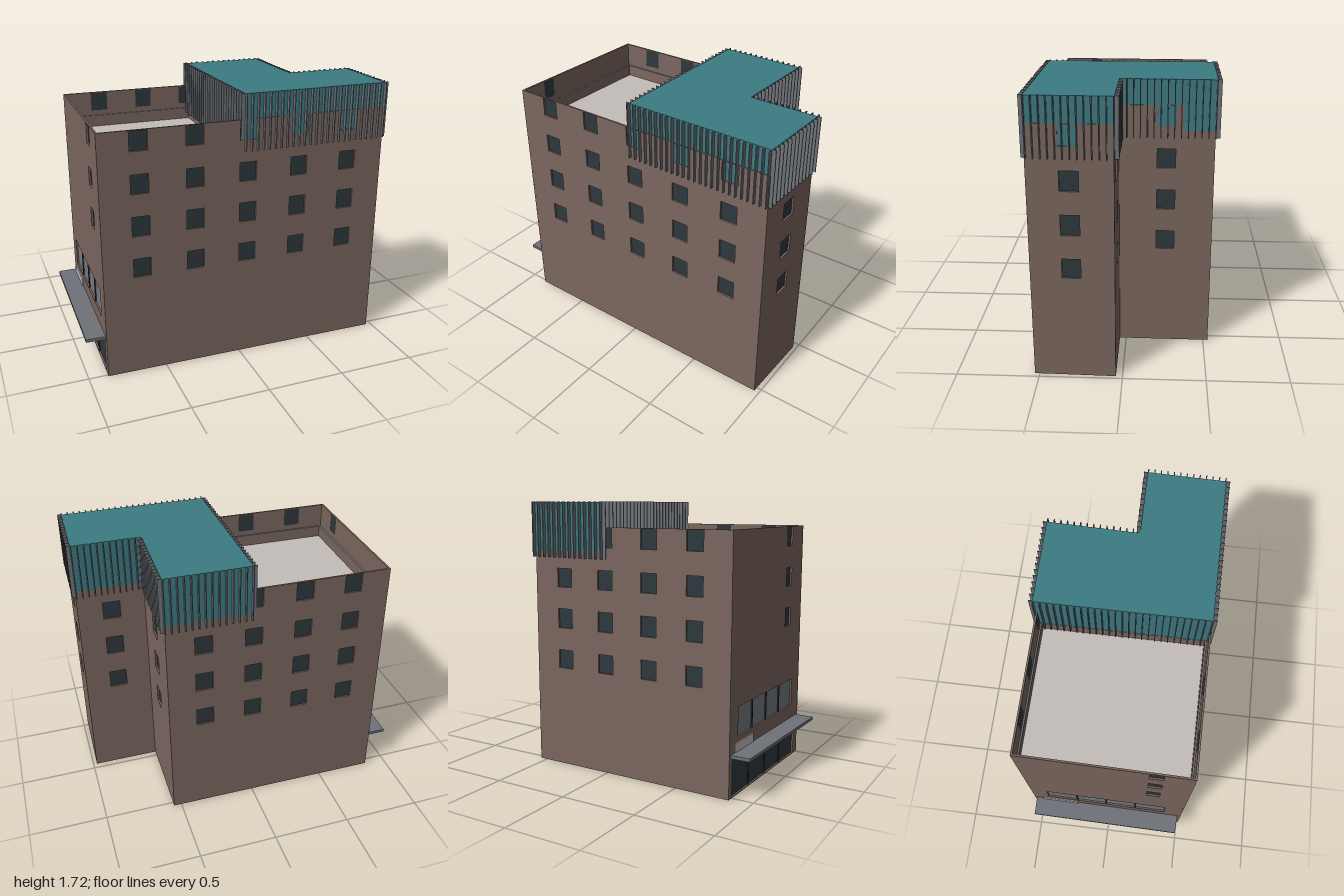
import * as THREE from 'three';

const mat = (name, color, side = THREE.FrontSide) => {
  const m = new THREE.MeshStandardMaterial({ color, side });
  m.name = name;
  return m;
};

export function createModel() {
  const root = new THREE.Group();
  root.name = 'building';
  const brown = mat('brown wall', 0x7b675f);
  const teal = mat('teal cladding', 0x3d7b83);
  const pale = mat('pale roof', 0xc4beba);
  const glass = mat('dark glass', 0x2e383e, THREE.DoubleSide);
  const shopGlass = mat('grey glass', 0x747b82, THREE.DoubleSide);
  const grey = mat('grey metal', 0x6e7278);
  const frame = mat('dark frame', 0x24292d);

  const H = 1.565, T = 0.012;
  const rows = [[0.65, 0.77], [0.915, 1.04], [1.18, 1.3], [1.44, 1.56]];

  const add = (parent, name, geo, material, x = 0, y = 0, z = 0) => {
    const m = new THREE.Mesh(geo, material);
    m.name = name;
    m.position.set(x, y, z);
    parent.add(m);
    return m;
  };

  // Upright prism from a plan outline of [x, z] points
  const planShape = pts => new THREE.Shape(pts.map(([x, z]) => new THREE.Vector2(x, -z)));
  const prism = (name, shape, y0, y1, material) => {
    const geo = new THREE.ExtrudeGeometry(shape, { depth: y1 - y0, bevelEnabled: false });
    geo.rotateX(-Math.PI / 2);
    return add(root, name, geo, material, 0, y0, 0);
  };

  // Group whose x runs along a plan edge and whose z points outwards
  const edgeGroup = (name, a, b) => {
    const g = new THREE.Group();
    g.name = name;
    g.position.set(a[0], 0, a[1]);
    g.rotation.y = Math.atan2(a[1] - b[1], b[0] - a[0]);
    root.add(g);
    return { g, len: Math.hypot(b[0] - a[0], b[1] - a[1]) };
  };

  // Thin wall pierced by openings, each glazed at the inner face
  const wall = (name, a, b, openings) => {
    const { g, len } = edgeGroup(name, a, b);
    const rect = (Type, u0, u1, y0, y1) => new Type([[u0, y0], [u1, y0], [u1, y1], [u0, y1]]
      .map(p => new THREE.Vector2(...p)));
    const s = rect(THREE.Shape, 0, len, 0, H);
    for (const o of openings) s.holes.push(rect(THREE.Path, o.u0, o.u1, o.y0, o.y1));
    add(g, name + 'Panel', new THREE.ExtrudeGeometry(s, { depth: T, bevelEnabled: false }), brown, 0, 0, -T);
    for (const o of openings) {
      const w = o.u1 - o.u0, h = o.y1 - o.y0;
      add(g, 'windowPane', new THREE.PlaneGeometry(w, h), o.material || glass, o.u0 + w / 2, o.y0 + h / 2, -T + 0.001);
      // Mullions for the wide glazing
      for (let i = 1; i < (o.panes || 1); i++) {
        add(g, 'mullion', new THREE.BoxGeometry(0.01, h, 0.008), frame, o.u0 + w * i / o.panes, o.y0 + h / 2, -T + 0.005);
      }
    }
    return g;
  };
  const windows = (centres, floors = rows, w = 0.11) =>
    centres.flatMap(c => floors.map(([y0, y1]) => ({ u0: c - w / 2, u1: c + w / 2, y0, y1 })));

  // L-shaped plan, anticlockwise from the front left corner
  const plan = [[-0.878, 0.513], [0.967, 0.53], [0.977, 0.04], [0.547, 0.04], [0.55, -0.53], [-0.86, -0.54]];
  wall('frontWall', plan[0], plan[1], windows([-0.635, -0.295, 0.045, 0.383, 0.722].map(x => x + 0.878)));
  wall('sideWall', plan[1], plan[2], windows([0.24]));
  wall('notchWall', plan[2], plan[3], windows([0.215]));
  wall('innerSideWall', plan[3], plan[4], windows([0.283]));
  wall('backWall', plan[4], plan[5], windows([0.23, 0.543, 0.86, 1.172]));
  const entrance = wall('entranceWall', plan[5], plan[0], [
    ...windows([0.83], rows.slice(1), 0.085),
    { u0: 0.11, u1: 0.93, y0: 0.36, y1: 0.54, material: shopGlass, panes: 4 },
    { u0: 0.04, u1: 0.99, y0: 0.006, y1: 0.23, panes: 4 },
  ]);
  add(entrance, 'signBoard', new THREE.BoxGeometry(0.25, 0.055, 0.008), pale, 0.19, 0.3, 0.004);

  // Canopy over the entrance
  prism('canopy', planShape([[-1, 0.485], [-0.87, 0.49], [-0.855, -0.525], [-0.983, -0.525]]), 0.25, 0.27, grey);

  // Flat roof sunk behind the parapet, with a grey ledge round it
  const inner = [[-0.865, 0.501], [0.954, 0.517], [0.963, 0.053], [0.534, 0.053], [0.537, -0.518], [-0.848, -0.528]];
  prism('roof', planShape(inner), 1.31, 1.33, pale);
  const ledge = planShape([[-0.865, 0.501], [0.03, 0.509], [0.03, -0.521], [-0.848, -0.528]]);
  ledge.holes.push(new THREE.Path([[-0.851, 0.491], [0.02, 0.498], [0.02, -0.511], [-0.835, -0.518]]
    .map(([x, z]) => new THREE.Vector2(x, -z))));
  prism('roofLedge', ledge, 1.33, 1.4, brown);
  const cap = planShape([[-0.865, 0.501], [0.03, 0.509], [0.03, -0.521], [-0.848, -0.528]]);
  cap.holes = ledge.holes;
  prism('ledgeCap', cap, 1.4, 1.405, grey);

  // Teal penthouse
  const top = [[0.02, 0.516], [0.964, 0.524], [0.974, 0.036], [0.541, 0.036], [0.553, -0.533], [0.02, -0.537]];
  prism('penthouse', planShape(top), 1.41, 1.718, teal);

  // Upright fins around the penthouse
  const fin = new THREE.BoxGeometry(0.006, 0.35, 0.024);
  top.forEach((a, i) => {
    const { g, len } = edgeGroup('finRow', a, top[(i + 1) % top.length]);
    const n = Math.round(len / 0.04);
    for (let k = 0; k <= n; k++) {
      add(g, 'fin', fin, grey, 0.003 + (len - 0.006) * k / n, 1.545, 0.012);
    }
  });
  return root;
}
